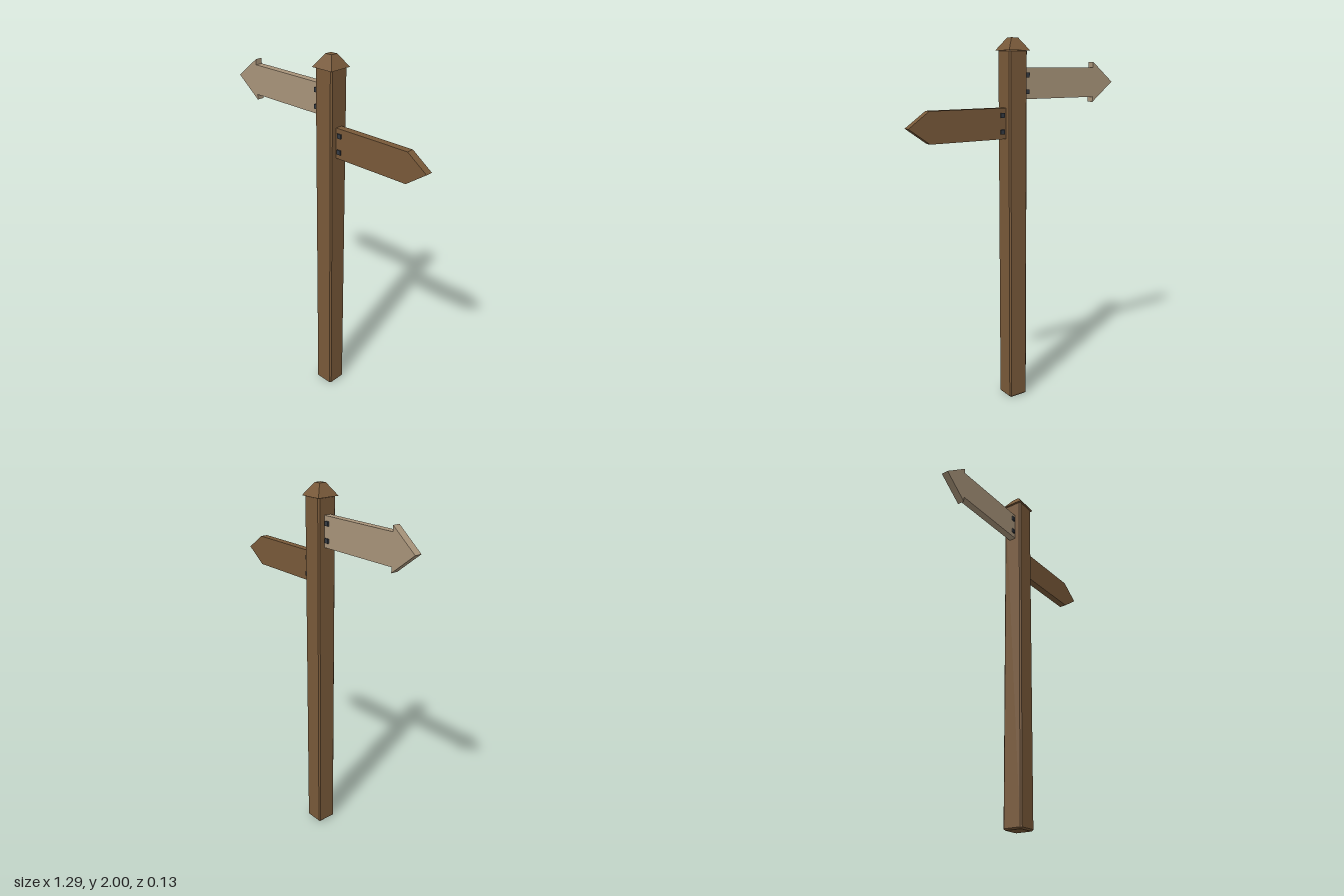
import * as THREE from 'three';

const POST_X = 0.027;

export function createModel() {
  const model = new THREE.Group();
  model.name = 'signpost';

  const flat = (name, color) => {
    const m = new THREE.MeshStandardMaterial({ color });
    m.name = name;
    return m;
  };
  const brown = flat('brownWood', 0x785939);
  const pale = flat('paleWood', 0xa8947a);
  const iron = flat('darkIron', 0x343a42);

  const add = (name, geometry, material, parent = model) => {
    const mesh = new THREE.Mesh(geometry, material);
    mesh.name = name;
    parent.add(mesh);
    return mesh;
  };

  // Square outline with chamfered corners
  const chamferedSquare = (half, cut) => {
    const s = new THREE.Shape();
    s.moveTo(half - cut, -half);
    s.lineTo(half, -half + cut);
    s.lineTo(half, half - cut);
    s.lineTo(half - cut, half);
    s.lineTo(-half + cut, half);
    s.lineTo(-half, half - cut);
    s.lineTo(-half, -half + cut);
    s.lineTo(-half + cut, -half);
    s.closePath();
    return s;
  };

  // Post, bevelled along its long edges and at both ends
  const bevel = 0.008;
  const postGeo = new THREE.ExtrudeGeometry(chamferedSquare(0.056 - bevel, 0.003), {
    depth: 1.94 - 2 * bevel, bevelEnabled: true, bevelSegments: 1,
    bevelSize: bevel, bevelThickness: bevel,
  });
  postGeo.rotateX(-Math.PI / 2).translate(POST_X, bevel, 0);
  add('post', postGeo, brown);

  // Cap: truncated four-sided pyramid
  const capGeo = new THREE.CylinderGeometry(0.02 * Math.SQRT2, 0.065 * Math.SQRT2, 0.065, 4)
    .toNonIndexed();
  capGeo.rotateY(Math.PI / 4).translate(POST_X, 1.9675, 0);
  capGeo.computeVertexNormals();
  add('postCap', capGeo, brown);

  // Pointed board with four bolts, two on each face
  const sign = (name, points, material, boltX, boltYs) => {
    const group = new THREE.Group();
    group.name = name;
    const shape = new THREE.Shape(points.map(([x, y]) => new THREE.Vector2(x, y)));
    const board = new THREE.ExtrudeGeometry(shape, { depth: 0.04, bevelEnabled: false });
    board.translate(0, 0, -0.02);
    add('board', board, material, group);
    for (const y of boltYs) {
      for (const side of [-1, 1]) {
        add('bolt', new THREE.BoxGeometry(0.024, 0.024, 0.012), iron, group)
          .position.set(boltX, y, side * 0.021);
      }
    }
    model.add(group);
  };

  sign('arrowSign', [
    [-0.028, 1.685], [-0.028, 1.848], [-0.508, 1.848], [-0.508, 1.878],
    [-0.65, 1.767], [-0.508, 1.656], [-0.508, 1.685],
  ], pale, -0.052, [1.81, 1.723]);

  sign('pointedSign', [
    [0.082, 1.482], [0.53, 1.482], [0.645, 1.563], [0.53, 1.644], [0.082, 1.644],
  ], brown, 0.106, [1.606, 1.52]);

  return model;
}
